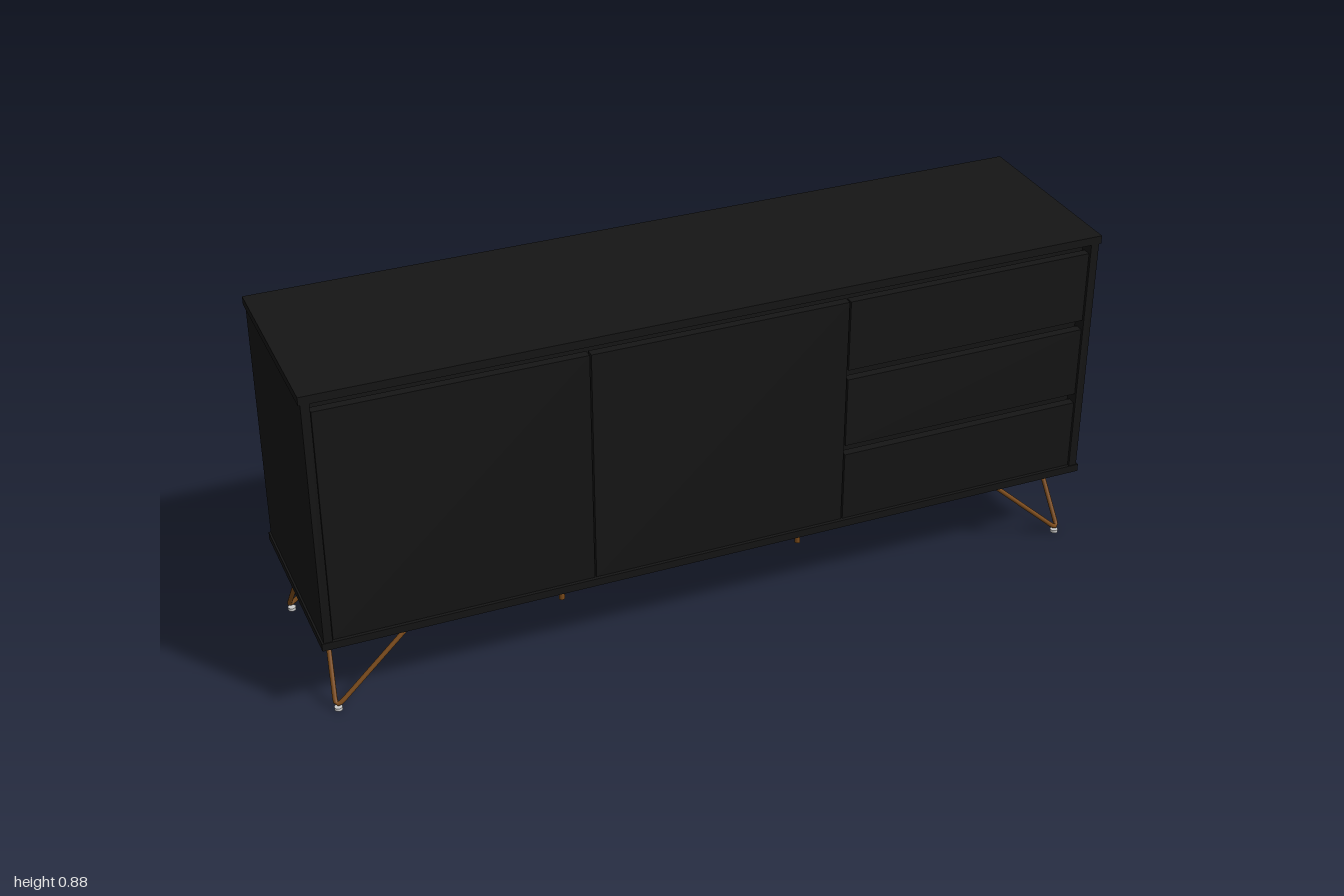
import * as THREE from 'three';

const black = new THREE.MeshStandardMaterial({ color: 0x151515 });
const copper = new THREE.MeshStandardMaterial({ color: 0x7a4a1a });
const grey = new THREE.MeshStandardMaterial({ color: 0xcccccc });

export function createModel() {
  const model = new THREE.Group();
  model.name = 'sideboard';

  const add = (name, geometry, material, x, y, z) => {
    const mesh = new THREE.Mesh(geometry, material);
    mesh.name = name;
    mesh.position.set(x, y, z);
    model.add(mesh);
    return mesh;
  };
  // Box given by its lower and upper limits on each axis
  const panel = (name, x0, x1, y0, y1, z0, z1) =>
    add(name, new THREE.BoxGeometry(x1 - x0, y1 - y0, z1 - z0), black,
      (x0 + x1) / 2, (y0 + y1) / 2, (z0 + z1) / 2);

  // Carcass
  const low = 0.22, high = 0.855;
  panel('topPanel', -1, 1, high, 0.876, -0.25, 0.25);
  panel('bottomPanel', -1, 1, 0.2, low, -0.25, 0.25);
  panel('leftSide', 0.974, 0.995, low, high, -0.248, 0.248);
  panel('rightSide', -0.995, -0.974, low, high, -0.248, 0.248);
  panel('backPanel', -0.974, 0.974, low, high, -0.246, -0.23);
  panel('innerBody', -0.974, 0.974, low, high, -0.23, 0.21);

  // Doors and drawer fronts, with finger gaps above each
  const gap = 0.002, frontTop = 0.83, z0 = 0.222, z1 = 0.244;
  panel('rightDoor', -0.974 + gap, -0.327 - gap, low + gap, frontTop, z0, z1);
  panel('middleDoor', -0.327 + gap, 0.325 - gap, low + gap, frontTop, z0, z1);
  const drawerGap = 0.024, drawerHeight = (frontTop - low - 2 * drawerGap) / 3;
  for (let i = 0; i < 3; i++) {
    const y = low + i * (drawerHeight + drawerGap);
    panel('drawerFront' + (i + 1), 0.325 + gap, 0.974 - gap, y + gap, y + drawerHeight, z0, z1);
  }

  const disc = (radius, height) => new THREE.CylinderGeometry(radius, radius, height, 20);

  // Corner hairpin legs: one prong runs along x, the other along z
  for (const sx of [1, -1]) for (const sz of [1, -1]) {
    const at = (x, y, z) => new THREE.Vector3(sx * x, y, sz * z);
    const alongX = at(0.76, 0.2, 0.202), alongZ = at(0.957, 0.2, 0.108);
    const tip = at(0.976, 0.008, 0.222);
    const bendA = tip.clone().lerp(alongX, 0.1), bendB = tip.clone().lerp(alongZ, 0.1);
    const path = new THREE.CurvePath();
    path.add(new THREE.LineCurve3(alongX, bendA));
    path.add(new THREE.QuadraticBezierCurve3(bendA, tip, bendB));
    path.add(new THREE.LineCurve3(bendB, alongZ));
    add('hairpinLeg', new THREE.TubeGeometry(path, 64, 0.006, 10), copper, 0, 0, 0);
    for (const p of [alongX, alongZ])
      add('legMount', disc(0.013, 0.004), copper, p.x, 0.199, p.z);
    add('footPad', disc(0.01, 0.008), grey, sx * 0.969, 0.004, sz * 0.217);
  }

  // Straight middle legs
  for (const x of [-0.33, 0.325]) {
    add('middleLeg', disc(0.0075, 0.2), copper, x, 0.1, 0);
    add('legMount', disc(0.013, 0.004), copper, x, 0.199, 0);
  }
  return model;
}
